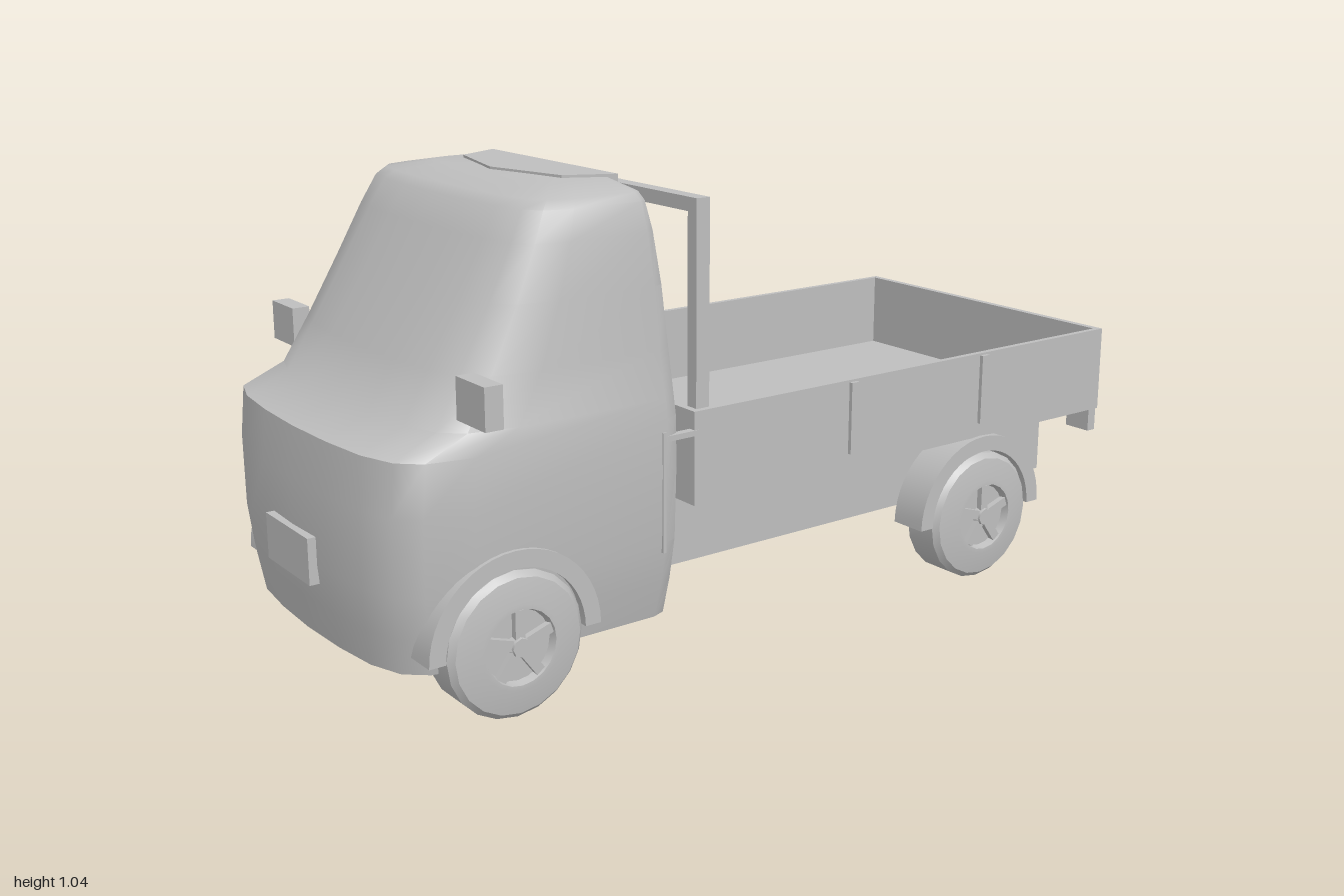
import * as THREE from 'three';
import { toCreasedNormals } from 'three/addons/utils/BufferGeometryUtils.js';

const paint = new THREE.MeshStandardMaterial({ color: 0xbebebe });
paint.name = 'light grey';

function add(parent, name, geometry) {
  const mesh = new THREE.Mesh(geometry, paint);
  mesh.name = name;
  parent.add(mesh);
  return mesh;
}

// Box given by its limits on each axis
function box(parent, name, [x0, x1], [y0, y1], [z0, z1]) {
  const mesh = add(parent, name, new THREE.BoxGeometry(x1 - x0, y1 - y0, z1 - z0));
  mesh.position.set((x0 + x1) / 2, (y0 + y1) / 2, (z0 + z1) / 2);
  return mesh;
}

// The same box on both sides of the vehicle
function pair(parent, name, [x0, x1], y, z) {
  box(parent, name + 'Left', [x0, x1], y, z);
  box(parent, name + 'Right', [-x1, -x0], y, z);
}

// Cab shell lofted upwards through rounded plan sections
function cabGeometry() {
  // height, half width, front z, back z
  const sections = [
    [0.12, 0.385, 0.965, 0.31], [0.2, 0.4, 0.977, 0.303], [0.29, 0.412, 0.985, 0.298],
    [0.45, 0.415, 0.985, 0.295], [0.558, 0.413, 0.975, 0.295], [0.6, 0.408, 0.88, 0.297],
    [0.7, 0.397, 0.82, 0.303], [0.83, 0.387, 0.74, 0.315], [0.94, 0.375, 0.675, 0.33],
    [1.0, 0.361, 0.638, 0.341], [1.017, 0.345, 0.615, 0.347], [1.035, 0.245, 0.53, 0.36],
  ];
  const positions = [], index = [];
  let n = 0;
  for (const [y, w, zf, zb] of sections) {
    const d = Math.min(1, (zf - zb) / 0.5);
    const half = [
      [0, zf], [0.35, zf - 0.005 * d], [0.65, zf - 0.018 * d], [0.85, zf - 0.045 * d],
      [0.95, zf - 0.09 * d], [1, zf - 0.19 * d], [1, zb + 0.045 * d],
      [0.97, zb + 0.015 * d], [0.9, zb], [0, zb],
    ];
    const ring = [...half, ...half.slice(1, -1).reverse().map(([x, z]) => [-x, z])];
    n = ring.length;
    for (const [x, z] of ring) positions.push(x * w, y, z);
  }
  const last = (sections.length - 1) * n;
  const bottom = positions.length / 3, top = bottom + 1;
  positions.push(0, 0.12, 0.6, 0, 1.037, 0.44);
  for (let j = 0; j < n; j++) {
    const k = (j + 1) % n;
    for (let i = 0; i < last; i += n) {
      index.push(i + j, i + k, i + n + k, i + j, i + n + k, i + n + j);
    }
    index.push(bottom, k, j, top, last + j, last + k);
  }
  const g = new THREE.BufferGeometry();
  g.setAttribute('position', new THREE.Float32BufferAttribute(positions, 3));
  g.setIndex(index);
  return toCreasedNormals(g, 0.7);
}

// Wheel with a dished rim and five spokes, outer side towards +x
function wheel(name) {
  const g = new THREE.Group();
  g.name = name;
  const profile = [
    [0, -0.055], [0.14, -0.055], [0.155, -0.04], [0.155, 0.04], [0.143, 0.053],
    [0.09, 0.063], [0.08, 0.063], [0.075, 0.045], [0, 0.045],
  ].map(([r, y]) => new THREE.Vector2(r, y));
  const tyre = new THREE.LatheGeometry(profile, 20);
  tyre.rotateZ(-Math.PI / 2);
  add(g, 'tyre', toCreasedNormals(tyre, 0.5));
  const cap = new THREE.CylinderGeometry(0.02, 0.025, 0.02, 8);
  cap.rotateZ(-Math.PI / 2);
  add(g, 'hubCap', cap).position.x = 0.054;
  for (let i = 0; i < 5; i++) {
    const spoke = new THREE.BoxGeometry(0.014, 0.07, 0.022);
    spoke.translate(0.052, 0.042, 0);
    spoke.rotateX(i * Math.PI * 0.4);
    add(g, 'spoke', spoke);
  }
  return g;
}

// Half ring over a wheel
function fenderGeometry(depth) {
  const s = new THREE.Shape();
  s.absarc(0, 0, 0.197, 0, Math.PI, false);
  s.absarc(0, 0, 0.16, Math.PI, 0, true);
  const g = new THREE.ExtrudeGeometry(s, { depth, bevelEnabled: false, curveSegments: 12 });
  g.translate(0, 0, -depth / 2);
  g.rotateY(-Math.PI / 2);
  return toCreasedNormals(g, 0.5);
}

export function createModel() {
  const model = new THREE.Group();
  model.name = 'flatbedTruck';

  // Cab with roof lip, number plate, mirrors and door strips
  const cab = new THREE.Group();
  cab.name = 'cab';
  model.add(cab);
  add(cab, 'cabShell', cabGeometry());
  const lip = new THREE.Shape([[-0.25, -0.345], [0.25, -0.345], [0.2, -0.45], [0, -0.5], [-0.2, -0.45]]
    .map(([x, y]) => new THREE.Vector2(x, y)));
  const lipGeometry = new THREE.ExtrudeGeometry(lip, { depth: 0.016, bevelEnabled: false });
  lipGeometry.rotateX(-Math.PI / 2);
  add(cab, 'roofLip', lipGeometry).position.y = 1.025;
  box(cab, 'numberPlate', [-0.1, 0.1], [0.25, 0.35], [0.975, 1]);
  pair(cab, 'mirror', [0.365, 0.472], [0.623, 0.71], [0.76, 0.8]);
  pair(cab, 'doorStrip', [0.4, 0.417], [0.27, 0.53], [0.346, 0.354]);
  pair(cab, 'cabLink', [0.395, 0.413], [0.508, 0.52], [0.26, 0.35]);

  // Chassis
  box(model, 'chassis', [-0.285, 0.285], [0.178, 0.357], [-0.93, 0.31]);

  // Open load bed
  const bed = new THREE.Group();
  bed.name = 'loadBed';
  model.add(bed);
  box(bed, 'bedFloor', [-0.41, 0.41], [0.355, 0.375], [-0.995, 0.268]);
  pair(bed, 'bedSide', [0.397, 0.411], [0.355, 0.56], [-1, 0.27]);
  box(bed, 'tailgate', [-0.397, 0.397], [0.355, 0.56], [-1, -0.983]);
  box(bed, 'headboard', [-0.397, 0.397], [0.355, 0.56], [0.254, 0.27]);
  for (const z of [-0.17, -0.58]) {
    pair(bed, 'sideStake', [0.405, 0.42], [0.39, 0.555], [z - 0.011, z + 0.011]);
  }
  pair(bed, 'tailLamp', [0.335, 0.405], [0.298, 0.358], [-1, -0.975]);

  // Load rack behind the cab
  pair(bed, 'rackPost', [0.355, 0.385], [0.37, 0.998], [0.212, 0.246]);
  box(bed, 'rackBar', [-0.357, 0.357], [0.968, 0.998], [0.212, 0.246]);

  // Wheels and fenders
  for (const [place, z] of [['front', 0.712], ['rear', -0.583]]) {
    for (const side of [1, -1]) {
      const label = place + (side > 0 ? 'Left' : 'Right');
      const w = wheel(label + 'Wheel');
      w.position.set(side * 0.374, 0.16, z);
      if (side < 0) w.rotation.y = Math.PI;
      model.add(w);
      const fender = add(model, label + 'Fender', fenderGeometry(0.09));
      fender.position.set(side * 0.377, 0.16, z);
    }
  }
  return model;
}
